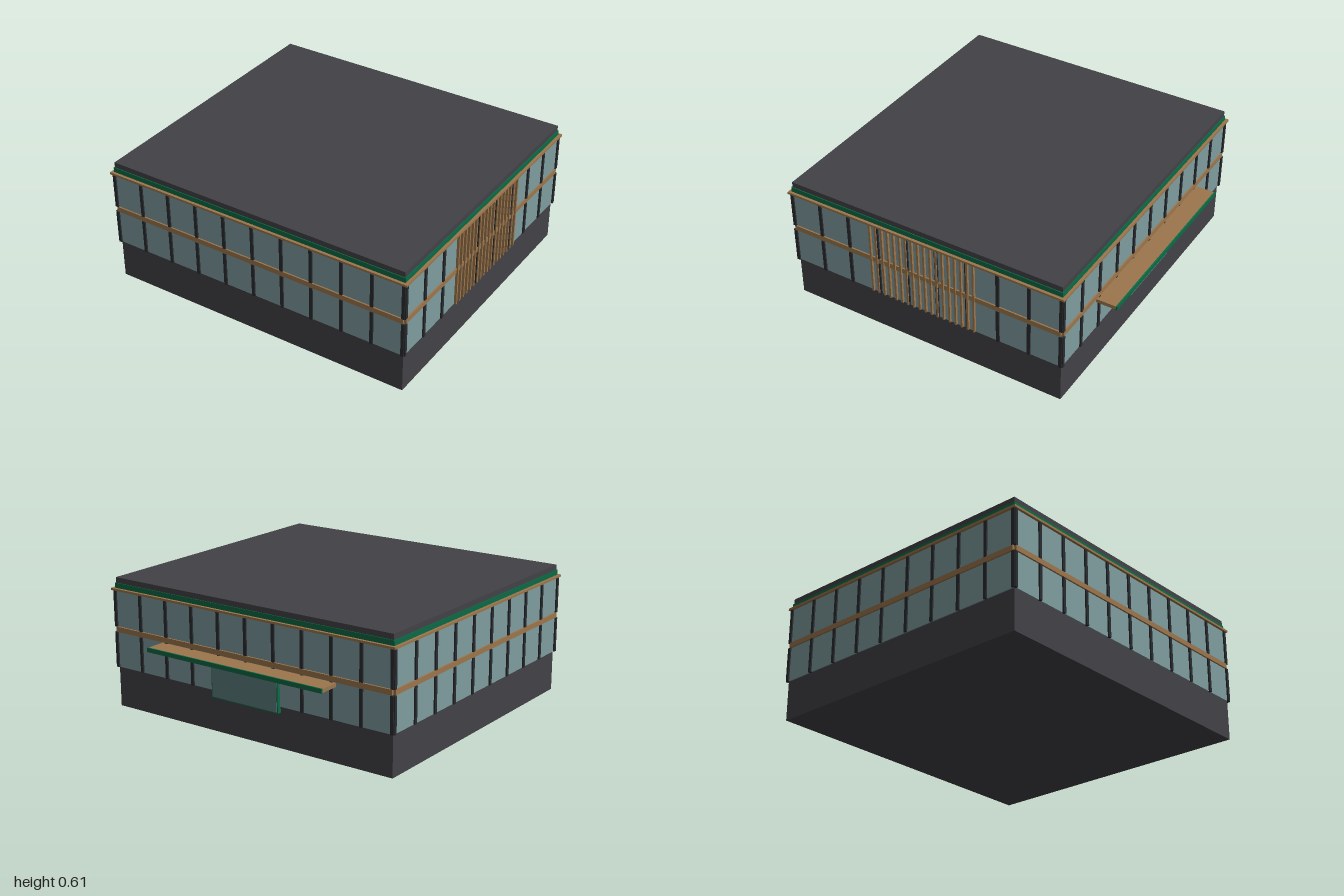
import * as THREE from 'three';

const mat = (name, color) => {
  const m = new THREE.MeshStandardMaterial({ color });
  m.name = name;
  return m;
};

export function createModel() {
  const charcoal = mat('charcoal wall', 0x424146);
  const frame = mat('dark frame', 0x2a2b2f);
  const glass = mat('window glass', 0x7f9c9f);
  const doorGlass = mat('entrance glass', 0x5b7c7d);
  const wood = mat('wood', 0x9c764c);
  const green = mat('green trim', 0x0a6a45);

  const W = 1.349, D = 1.488, H = 0.605;

  // Box from x centre, bottom and top, and back and front depth
  const box = (parent, name, material, w, x, y0, y1, z0, z1) => {
    const m = new THREE.Mesh(new THREE.BoxGeometry(w, y1 - y0, z1 - z0), material);
    m.position.set(x, (y0 + y1) / 2, (z0 + z1) / 2);
    m.name = name;
    parent.add(m);
    return m;
  };

  const building = new THREE.Group();
  building.name = 'building';
  building.rotation.y = THREE.MathUtils.degToRad(29.05);
  box(building, 'core', charcoal, W, 0, 0, H, -D / 2, D / 2);

  // Each wall is built facing +z, with z = 0 on the core's surface
  const makeWall = (name, width, distance, angle, panels) => {
    const turn = new THREE.Group();
    turn.name = name;
    turn.rotation.y = angle;
    const wall = new THREE.Group();
    wall.position.z = distance;
    turn.add(wall);
    building.add(turn);

    // Two rows of windows with mullions
    for (const [y0, y1] of [[0.188, 0.352], [0.379, 0.548]]) {
      box(wall, 'windowRow', glass, width, 0, y0, y1, -0.002, 0.005);
      for (let i = 0; i <= panels; i++) {
        box(wall, 'mullion', frame, 0.015, (i / panels - 0.5) * width, y0, y1, -0.005, 0.012);
      }
    }
    box(wall, 'floorBand', wood, width, 0, 0.354, 0.378, -0.002, 0.0105);
    box(wall, 'greenStrip', green, width + 0.008, 0, 0.556, 0.58, -0.002, 0.004);
    return wall;
  };

  const front = makeWall('frontWall', W, D / 2, 0, 9);
  makeWall('backWall', W, D / 2, Math.PI, 9);
  const left = makeWall('leftWall', D, W / 2, Math.PI / 2, 10);
  makeWall('rightWall', D, W / 2, -Math.PI / 2, 10);

  // Ledge running round the building below the roof
  box(building, 'roofLedge', wood, W + 0.034, 0, 0.547, 0.557, -D / 2 - 0.017, D / 2 + 0.017);

  // Vertical sunscreen slats on the front
  const slats = 18;
  for (let i = 0; i < slats; i++) {
    box(front, 'slat', wood, 0.009, -0.26 + (0.52 * i) / (slats - 1), 0.19, 0.547, 0, 0.0165);
  }

  // Entrance with canopy
  box(left, 'entranceFrame', green, 0.36, 0, 0.16, 0.334, -0.002, 0.02);
  box(left, 'entranceGlass', doorGlass, 0.35, 0, 0.165, 0.334, 0.018, 0.022);
  box(left, 'canopy', wood, 0.94, 0, 0.334, 0.351, -0.002, 0.1);
  box(left, 'canopyEdge', green, 0.942, 0, 0.333, 0.353, 0.099, 0.106);

  const model = new THREE.Group();
  model.name = 'model';
  model.add(building);
  return model;
}
